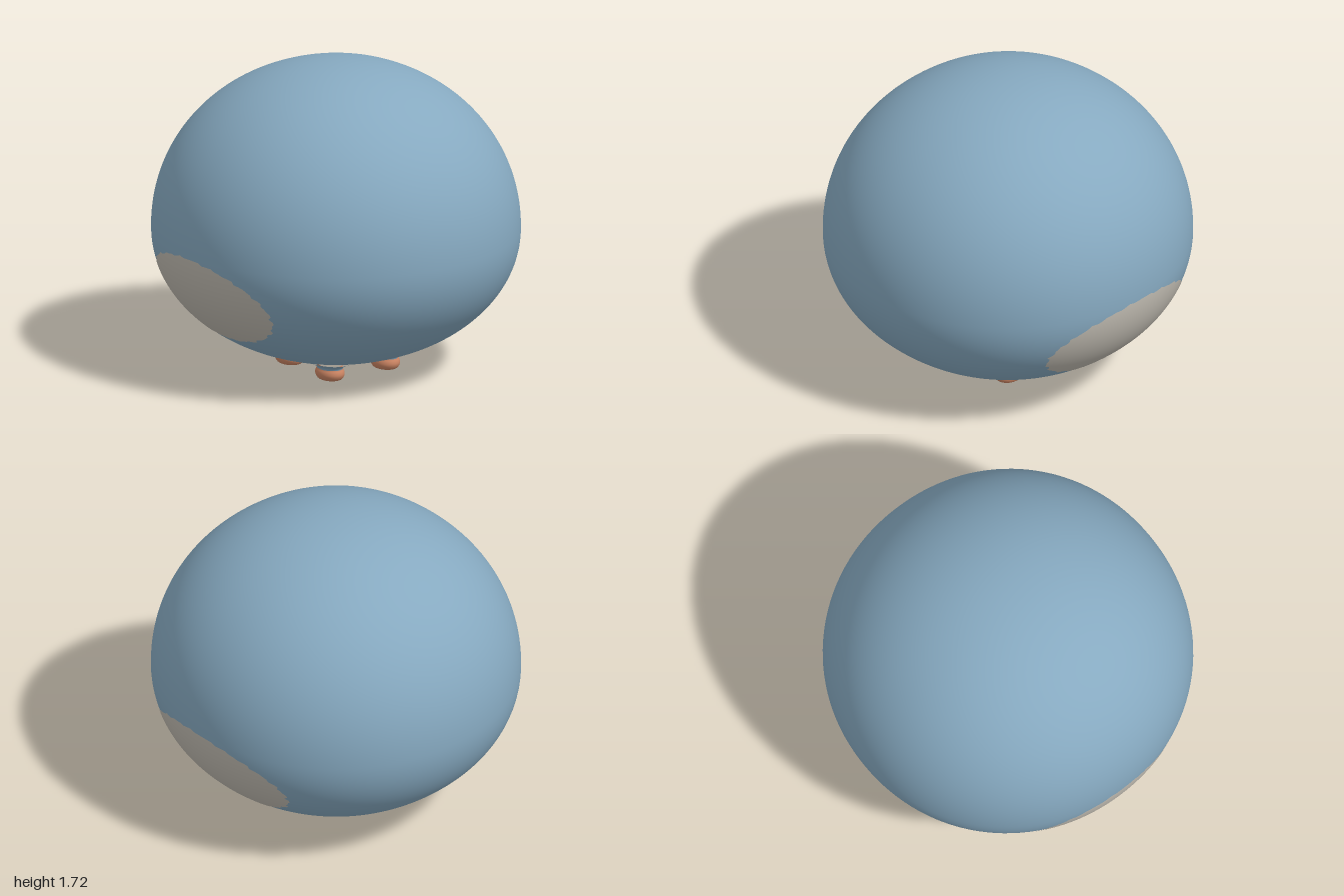
import * as THREE from 'three';

const N = 2.05;          // roundness exponent of the body
const MID = 0.79;        // height of the widest girth
const RX = 1, RZ = 0.995, UP = 0.93, DOWN = 0.725;

const blue = new THREE.MeshStandardMaterial({ color: 0x86a9c0 });
const cream = new THREE.MeshStandardMaterial({ color: 0xbfbab0 });
const orange = new THREE.MeshStandardMaterial({ color: 0xc98362 });

const pow = (v) => Math.pow(Math.abs(v), N);
const remain = (a, b) => Math.pow(Math.max(0, 1 - pow(a) - pow(b)), 1 / N);
const halfHeight = (y) => (y < 0 ? DOWN : UP);

// Outward normal of the body at a point
function bodyNormal(p) {
  const y = p.y - MID;
  const g = (v, r) => Math.sign(v) * Math.pow(Math.abs(v / r), N - 1) / r;
  return new THREE.Vector3(g(p.x, RX), g(y, halfHeight(y)), g(p.z, RZ)).normalize();
}

// Moves every vertex by a rule onto the body, with smooth normals
function wrap(geometry, rule, lift = 0) {
  const pos = geometry.attributes.position, nor = geometry.attributes.normal;
  const p = new THREE.Vector3();
  for (let i = 0; i < pos.count; i++) {
    rule(p.fromBufferAttribute(pos, i));
    const n = bodyNormal(p);
    p.addScaledVector(n, lift);
    pos.setXYZ(i, p.x, p.y, p.z);
    nor.setXYZ(i, n.x, n.y, n.z);
  }
  return geometry;
}

export function createModel() {
  const model = new THREE.Group();
  const add = (name, geometry, material) => {
    const mesh = new THREE.Mesh(geometry, material);
    mesh.name = name;
    model.add(mesh);
    return mesh;
  };

  // Round body, slightly flatter below
  add('body', wrap(new THREE.SphereGeometry(1, 128, 96), (p) => {
    p.divideScalar(Math.pow(pow(p.x) + pow(p.y) + pow(p.z), 1 / N));
    p.set(p.x * RX, MID + p.y * halfHeight(p.y), p.z * RZ);
  }), blue);

  // Pale oval patches on the front and back, with a slightly ragged rim
  for (const [name, side] of [['frontPatch', 1], ['backPatch', -1]]) {
    add(name, wrap(new THREE.RingGeometry(0, 1, 96, 16), (p) => {
      if (p.length() > 0.99) {
        const a = Math.atan2(p.y, p.x);
        p.multiplyScalar(1 + 0.014 * Math.sin(23 * a) + 0.012 * Math.sin(37 * a + 1));
      }
      const x = side * p.x * 0.5, y = 0.535 + p.y * 0.243;
      p.set(x, y, side * RZ * remain(x / RX, (y - MID) / DOWN));
    }, 0.003), cream);
  }

  // Small feet with a blue flare blending into the belly
  const footProfile = [[0, 0], [0.55, 0], [0.85, 0.008], [1, 0.03], [0.98, 0.05], [0.88, 0.066], [0.86, 0.085]];
  const flareProfile = [[0.88, 0.062], [0.93, 0.073], [1.06, 0.083], [1.35, 0.094], [1.7, 0.108]];
  const lathe = (pts) => new THREE.LatheGeometry(
    new THREE.SplineCurve(pts.map(([r, y]) => new THREE.Vector2(r, y))).getPoints(20), 32);
  for (const side of [1, -1]) {
    const label = side > 0 ? 'left' : 'right';
    for (const [end, z] of [['Front', 0.175], ['Back', -0.195]]) {
      for (const [part, profile, material] of [['Foot', footProfile, orange], ['FootFlare', flareProfile, blue]]) {
        const mesh = add(label + end + part, lathe(profile), material);
        mesh.scale.set(0.092, 1, 0.073);
        mesh.position.set(side * 0.187, 0, z);
      }
    }

    // Orange strip under the belly joining the two feet of a side
    add(label + 'FootStrip', wrap(new THREE.PlaneGeometry(0.13, 0.37, 8, 20), (p) => {
      const x = side * 0.187 + p.x, z = p.y - 0.01;
      p.set(x, MID - DOWN * remain(x / RX, z / RZ), z);
    }, 0.004), orange);
  }
  return model;
}
